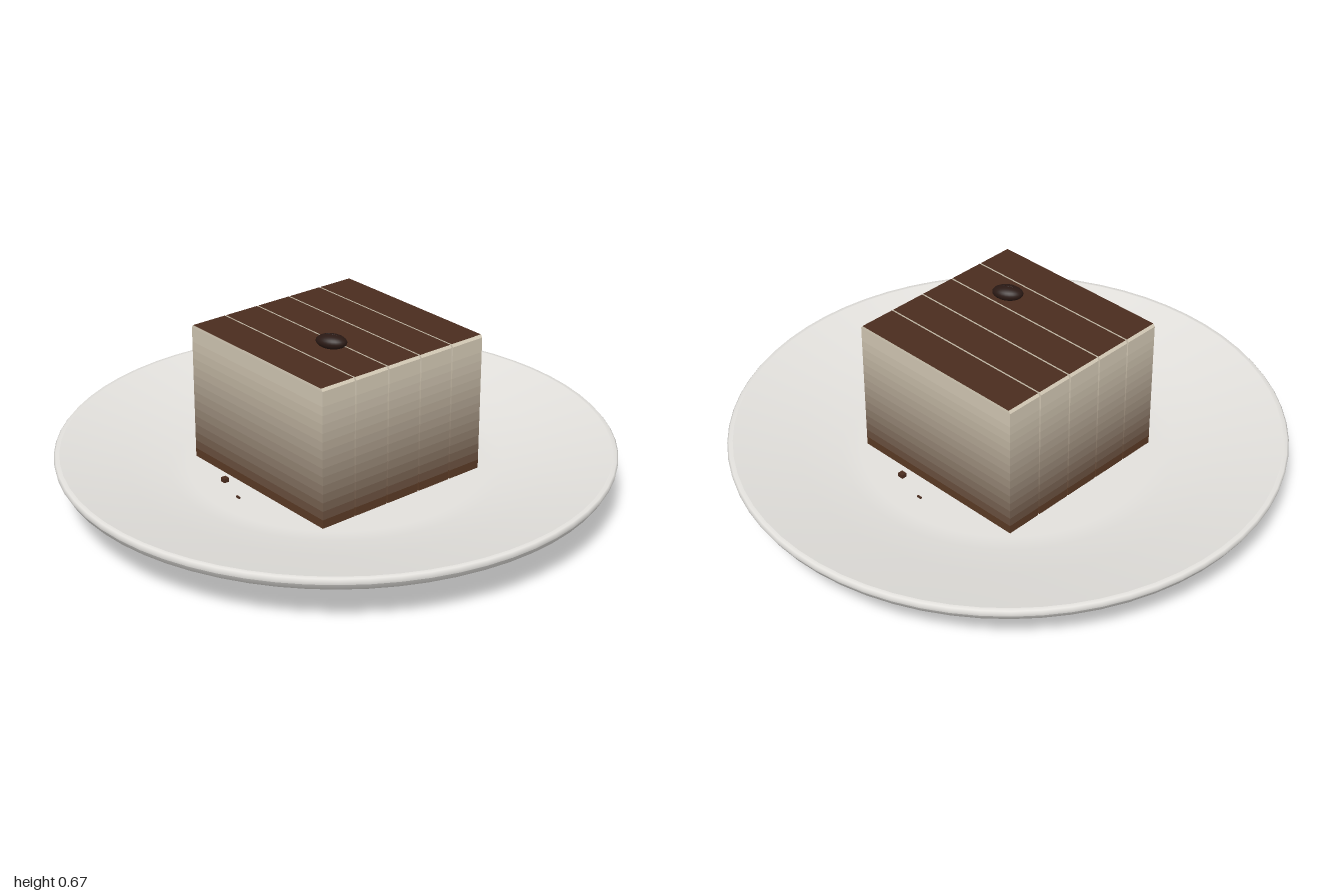
import * as THREE from 'three';
import { toCreasedNormals } from 'three/addons/utils/BufferGeometryUtils.js';

const mat = (color) => new THREE.MeshStandardMaterial({ color });

function add(parent, name, geometry, material, x = 0, y = 0, z = 0) {
  const mesh = new THREE.Mesh(geometry, material);
  mesh.name = name;
  mesh.position.set(x, y, z);
  parent.add(mesh);
  return mesh;
}

const lathe = (points) =>
  new THREE.LatheGeometry(points.map(([r, y]) => new THREE.Vector2(r, y)), 64);

// Upright slab whose sides fade from cream to cocoa, with eased top ends
function slabGeometry(width, height, depth, rows) {
  const geo = new THREE.BoxGeometry(width, height, depth, 1, rows, 1);
  const p = geo.attributes.position;
  const top = height / 2;
  const step = height / rows;
  for (let i = 0; i < p.count; i++) {
    const row = Math.round((top - p.getY(i)) / step);
    if (row === 0) p.setX(i, p.getX(i) - Math.sign(p.getX(i)) * 0.007);
    if (row === 1) p.setY(i, top - 0.01);
  }
  // one material per horizontal row, plus the dusted top and the base
  geo.clearGroups();
  const side = 6 * rows;
  for (const start of [0, side, 2 * side + 12, 3 * side + 12]) {
    for (let r = 0; r < rows; r++) geo.addGroup(start + r * 6, 6, r);
  }
  geo.addGroup(2 * side, 6, rows);
  geo.addGroup(2 * side + 6, 6, rows - 1);
  return toCreasedNormals(geo, 0.5);
}

export function createModel() {
  const model = new THREE.Group();
  const cocoa = mat(0x4a2c1e);
  const bean = mat(0x2a1914);
  const china = mat(0xe2e0dc);

  // Plate: flat foot, flared underside, rim and shallow well
  const plate = new THREE.Group();
  plate.name = 'plate';
  model.add(plate);
  add(plate, 'plateFoot', lathe([[0, 0], [0.645, 0]]), china);
  add(plate, 'plateUnderside', lathe([
    [0.645, 0], [0.665, 0.015], [0.695, 0.052], [0.74, 0.07], [0.965, 0.145], [0.985, 0.158], [0.998, 0.18],
  ]), china);
  add(plate, 'plateRim', lathe([[0.998, 0.18], [1, 0.192], [0.994, 0.199], [0.98, 0.2]]), china);
  add(plate, 'plateWell', lathe([
    [0.98, 0.2], [0.95, 0.193], [0.75, 0.146], [0.6, 0.116], [0.53, 0.11], [0, 0.11],
  ]), china);

  // Cake: five slabs side by side with narrow gaps
  const cake = new THREE.Group();
  cake.name = 'cake';
  model.add(cake);
  const rows = 16, base = 0.11, height = 0.512, count = 5, pitch = 0.1442;
  const cream = new THREE.Color(0xd6ccb8);
  const brown = new THREE.Color(0x5a3a25);
  const bands = [];
  for (let r = 0; r < rows; r++) {
    bands.push(mat(cream.clone().lerp(brown, r / (rows - 1))));
  }
  bands.push(cocoa);
  const slab = slabGeometry(0.72, height, 0.138, rows);
  for (let i = 0; i < count; i++) {
    add(cake, 'cakeSlab', slab, bands, 0, base + height / 2, (i - (count - 1) / 2) * pitch);
  }

  // Coffee bean with its centre crease
  const beanGroup = new THREE.Group();
  beanGroup.name = 'coffeeBean';
  beanGroup.position.set(0.117, 0.648, 0.118);
  beanGroup.rotation.y = Math.PI / 6;
  model.add(beanGroup);
  const ball = new THREE.SphereGeometry(1, 24, 16);
  add(beanGroup, 'beanBody', ball, bean).scale.set(0.056, 0.026, 0.036);
  add(beanGroup, 'beanCrease', ball, mat(0x170d0a)).scale.set(0.05, 0.0268, 0.003);

  // Crumbs scattered in matching pairs around the cake
  const crumb = new THREE.BoxGeometry(0.022, 0.016, 0.02);
  for (const s of [1, -1]) {
    add(model, 'crumb', crumb, cocoa, -0.13 * s, 0.117, 0.4 * s);
    add(model, 'crumb', crumb, cocoa, -0.29 * s, 0.117, 0.217 * s);
    add(model, 'crumb', crumb, cocoa, 0, 0.112, 0.44 * s).scale.set(0.8, 0.5, 0.3);
  }
  return model;
}
